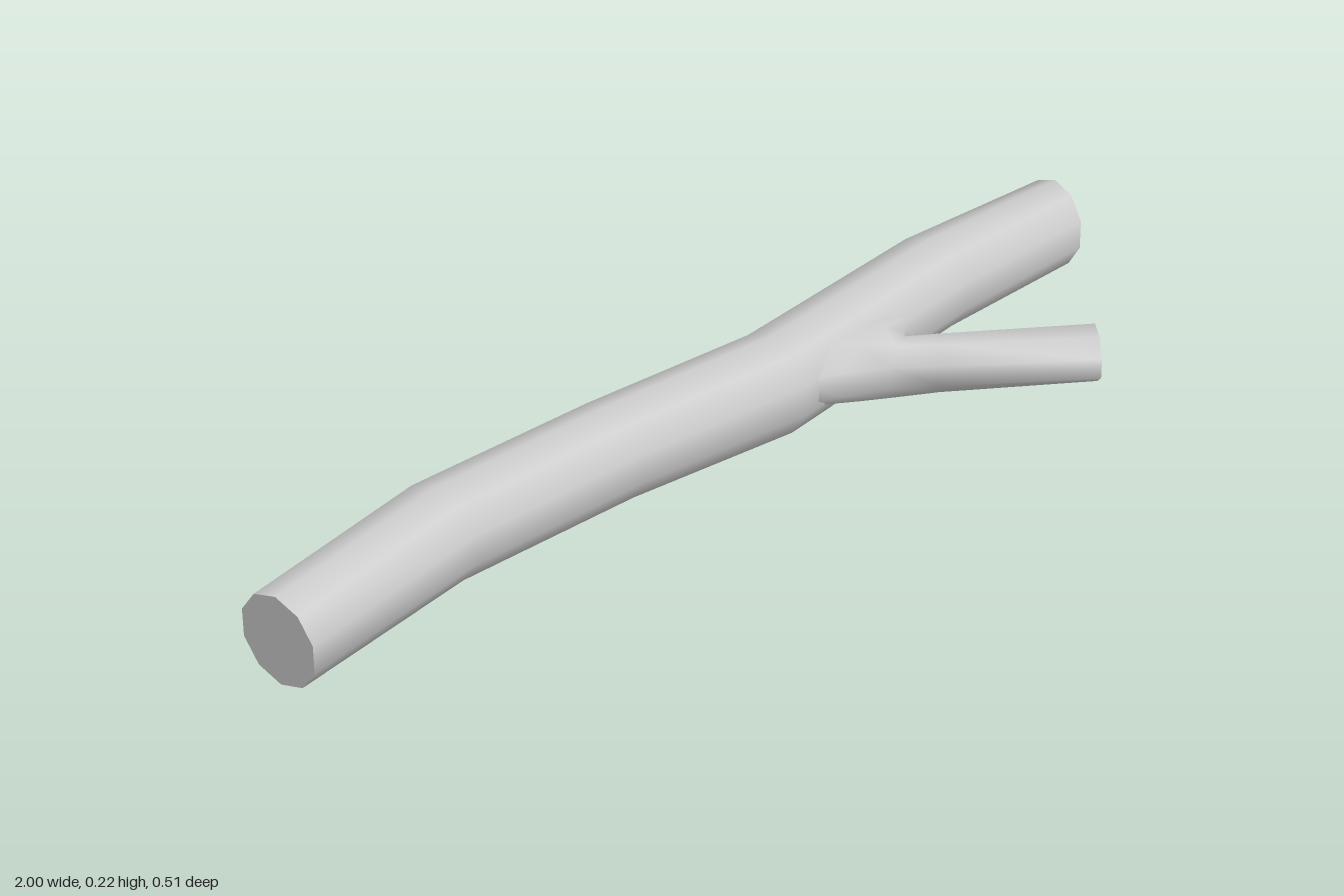
import * as THREE from 'three';

// Lofts an n-sided tube through sections given as
// [front x, front z, back x, back z, centre y, half height].
function loft(rows, n, capStart) {
  const pos = [], idx = [];
  const rings = rows.map(([xl, zl, xr, zr, y, h]) => {
    const c = new THREE.Vector3((xl + xr) / 2, y, (zl + zr) / 2);
    const u = new THREE.Vector3(xr - xl, 0, zr - zl).multiplyScalar(0.5 / Math.cos(Math.PI / n));
    const points = [];
    for (let i = 0; i < n; i++) {
      const a = ((i + 0.5) / n) * Math.PI * 2;
      const p = c.clone().addScaledVector(u, Math.cos(a));
      p.y += h * Math.sin(a);
      points.push(p);
    }
    return { c, points };
  });

  // Smooth sides
  rings.forEach(({ points }, j) => {
    points.forEach((p, i) => {
      pos.push(p.x, p.y, p.z);
      if (j === rings.length - 1) return;
      const a = j * n + i, b = j * n + (i + 1) % n;
      idx.push(a, b, b + n, a, b + n, a + n);
    });
  });

  // Flat cut ends, with their own vertices
  const cap = ({ c, points }, flip) => {
    const base = pos.length / 3;
    [c, ...points].forEach((p) => pos.push(p.x, p.y, p.z));
    for (let i = 0; i < n; i++) {
      const a = base + 1 + i, b = base + 1 + (i + 1) % n;
      idx.push(base, flip ? b : a, flip ? a : b);
    }
  };
  if (capStart) cap(rings[0], true);
  cap(rings[rings.length - 1], false);

  const geo = new THREE.BufferGeometry();
  geo.setAttribute('position', new THREE.Float32BufferAttribute(pos, 3));
  geo.setIndex(idx);
  geo.computeVertexNormals();
  return geo;
}

export function createModel() {
  const group = new THREE.Group();
  group.name = 'branchedLog';
  const material = new THREE.MeshStandardMaterial({ color: 0xcccccc });
  const add = (name, geo) => {
    const mesh = new THREE.Mesh(geo, material);
    mesh.name = name;
    group.add(mesh);
  };

  // Main log, bending gently along x
  add('log', loft([
    [-1, -0.036, -1, -0.2, 0.14, 0.081],
    [-0.6, -0.085, -0.61, -0.257, 0.138, 0.087],
    [-0.2, -0.085, -0.2, -0.257, 0.12, 0.089],
    [0.18, -0.063, 0.19, -0.24, 0.098, 0.095],
    [0.65, -0.083, 0.63, -0.255, 0.117, 0.09],
    [0.98, -0.083, 1, -0.227, 0.116, 0.087],
  ], 10, true));

  // Side branch with a flared root
  add('sideBranch', loft([
    [0.17, -0.085, 0.53, -0.1, 0.105, 0.062],
    [0.255, -0.047, 0.445, -0.064, 0.105, 0.062],
    [0.335, 0, 0.42, -0.033, 0.103, 0.056],
    [0.4, 0.06, 0.472, -0.008, 0.103, 0.052],
    [0.61, 0.255, 0.695, 0.165, 0.104, 0.048],
  ], 8, false));

  return group;
}
